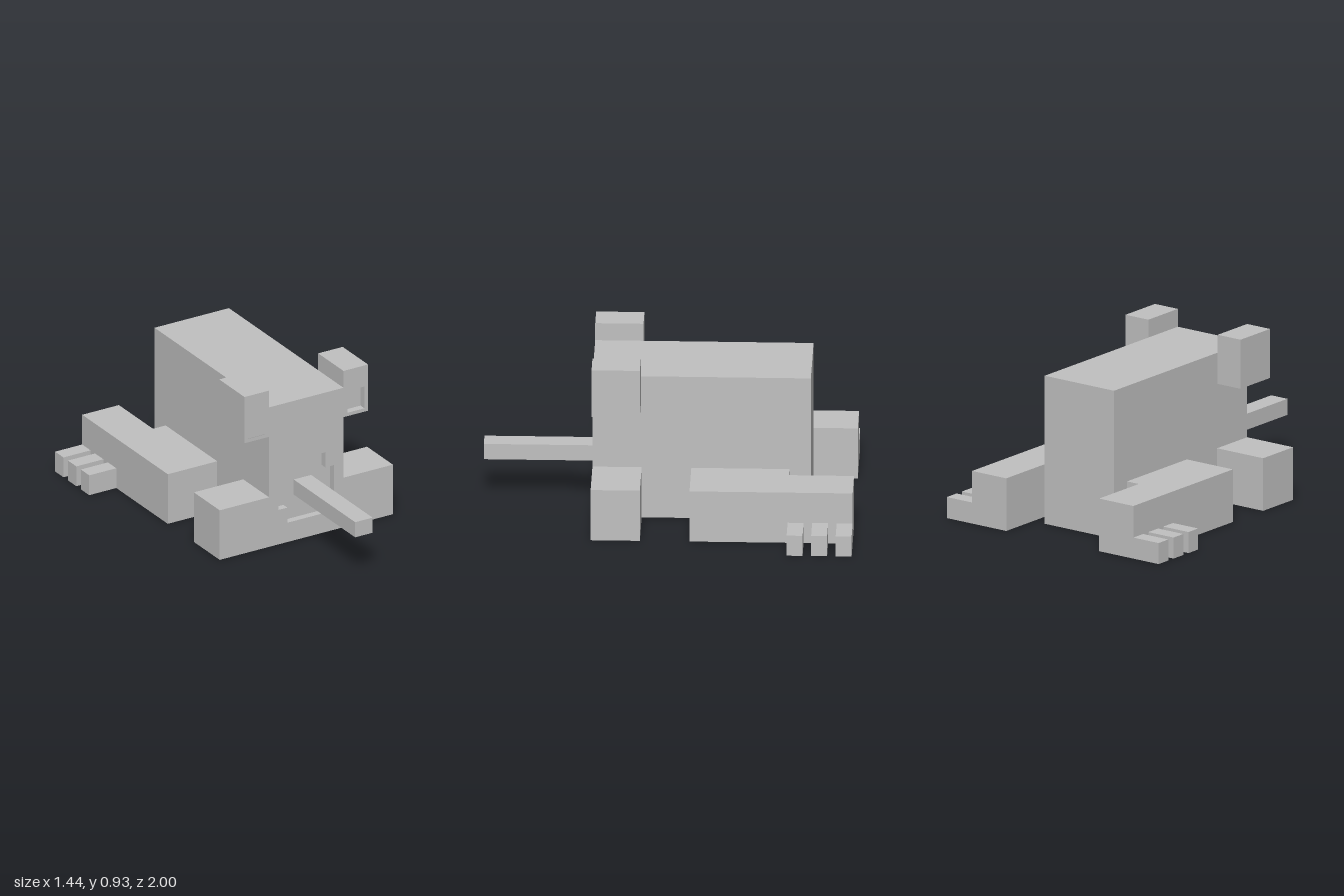
import * as THREE from 'three';

const FRONT = 0.41;   // z of the front plane
const RECESS = 0.04;  // depth of the eye and mouth hollows

export function createModel() {
  const group = new THREE.Group();
  group.name = 'blockFrog';
  const grey = new THREE.MeshStandardMaterial({ color: 0xc0c0c0 });
  grey.name = 'grey';

  const add = (name, geometry) => {
    const mesh = new THREE.Mesh(geometry, grey);
    mesh.name = name;
    group.add(mesh);
    return mesh;
  };

  // Box given by its limits on each axis
  const box = (name, x0, x1, y0, y1, z0, z1) =>
    add(name, new THREE.BoxGeometry(Math.abs(x1 - x0), y1 - y0, z1 - z0))
      .position.set((x0 + x1) / 2, (y0 + y1) / 2, (z0 + z1) / 2);

  const rect = (x0, x1, y0, y1) => [[x0, y0], [x1, y0], [x1, y1], [x0, y1]];
  const vectors = (points) => points.map(([x, y]) => new THREE.Vector2(x, y));

  // Front slab with a hole that forms a hollow against the block behind it
  const hollowFront = (name, outline, hole) => {
    const shape = new THREE.Shape(vectors(outline));
    shape.holes.push(new THREE.Path(vectors(hole)));
    add(name, new THREE.ExtrudeGeometry(shape, { depth: RECESS, bevelEnabled: false }))
      .position.z = FRONT - RECESS;
  };

  // Body and its cross-shaped mouth
  box('body', -0.235, 0.235, 0, 0.83, -0.765, FRONT - RECESS);
  hollowFront('mouthFront', rect(-0.235, 0.235, 0, 0.83), [
    [-0.12, 0.115], [0.12, 0.115], [0.12, 0.205], [0.175, 0.205],
    [0.175, 0.385], [0.12, 0.385], [0.12, 0.475], [-0.12, 0.475],
    [-0.12, 0.385], [-0.175, 0.385], [-0.175, 0.205], [-0.12, 0.205],
  ]);
  box('tongue', -0.055, 0.055, 0.25, 0.34, FRONT - RECESS, 1);

  for (const [side, s] of [['left', 1], ['right', -1]]) {
    // Eye block with a square hollow
    box(side + 'Eye', s * 0.235, s * 0.39, 0.655, 0.93, 0.15, FRONT - RECESS);
    hollowFront(side + 'EyeFront',
      rect(s * 0.235, s * 0.39, 0.655, 0.93), rect(s * 0.26, s * 0.367, 0.675, 0.805));

    // Legs
    box(side + 'FrontLeg', s * 0.235, s * 0.547, 0, 0.295, 0.145, FRONT);
    box(side + 'HindLeg', s * 0.235, s * 0.547, 0, 0.295, -0.65, -0.122);
    box(side + 'HindFoot', s * 0.315, s * 0.547, 0, 0.295, -1, -0.65);

    // Three toes pointing outward
    for (let i = 0; i < 3; i++) {
      const z = -1 + i * 0.132;
      box(side + 'Toe' + (i + 1), s * 0.547, s * 0.718, 0, 0.118, z, z + 0.086);
    }
  }
  return group;
}
